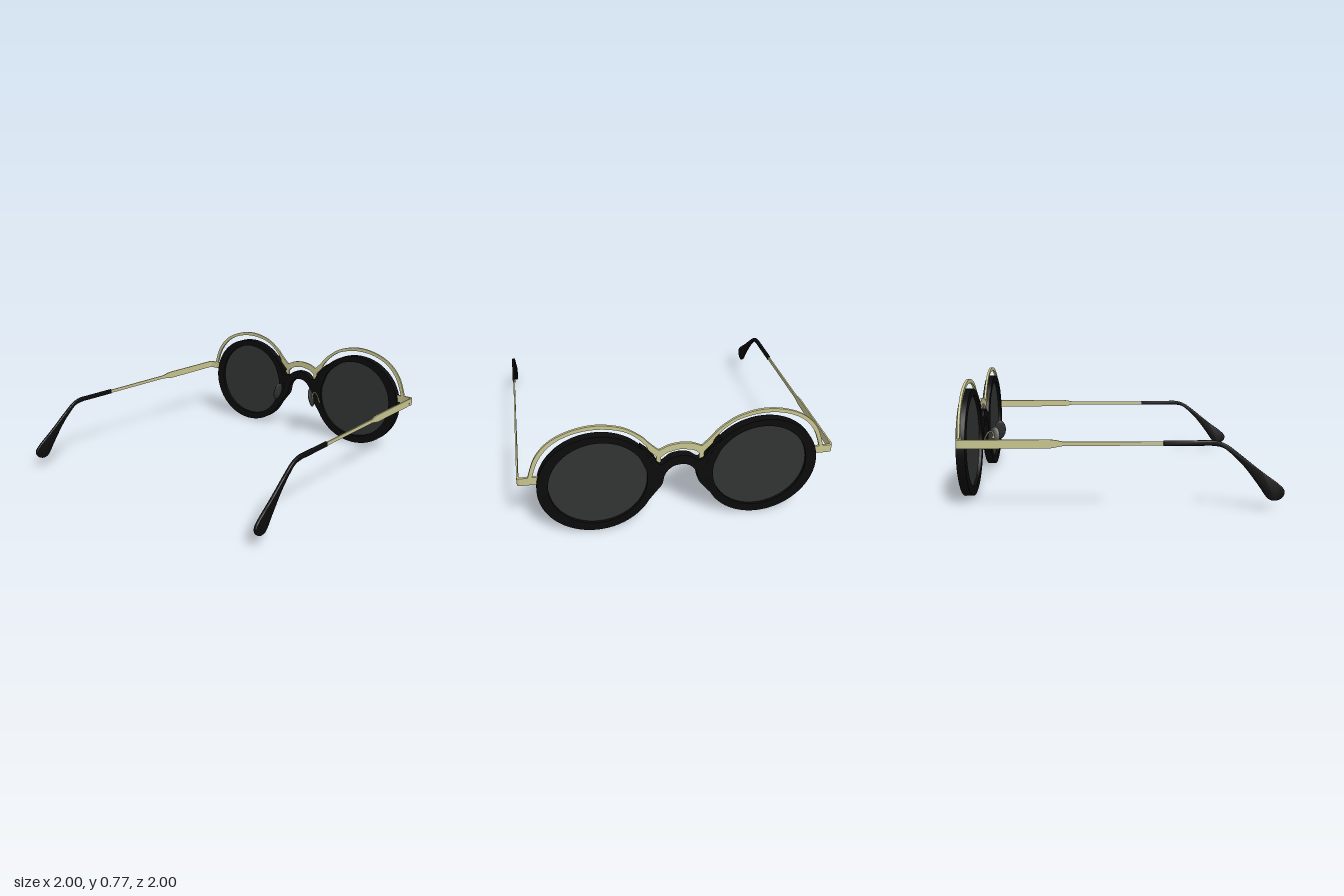
import * as THREE from 'three';
import { toCreasedNormals } from 'three/addons/utils/BufferGeometryUtils.js';

const V = (x, y) => new THREE.Vector2(x, y);
const mat = (color) => new THREE.MeshStandardMaterial({ color });

// Smooth run of points through a few control points
const smooth = (pts, n = 32) => new THREE.SplineCurve(pts.map((p) => V(...p))).getPoints(n);

// Closed symmetric shape from its right half (upper edge outward, lower edge back)
function mirrored(half) {
  const left = half.slice(1, -1).reverse().map((p) => V(-p.x, p.y));
  return new THREE.Shape([...half, ...left]);
}

function extrude(shape, depth, bevel = 0) {
  const g = new THREE.ExtrudeGeometry(shape, {
    depth: depth - 2 * bevel, curveSegments: 64, bevelEnabled: bevel > 0,
    bevelThickness: bevel, bevelSize: bevel, bevelOffset: -bevel, bevelSegments: 3,
  });
  g.translate(0, 0, bevel);
  return toCreasedNormals(g, 0.6);
}

function ellipse(cx, cy, rx, ry, Kind = THREE.Shape) {
  const s = new Kind();
  s.absellipse(cx, cy, rx, ry, 0, Math.PI * 2, false, 0);
  return s;
}

export function createModel() {
  const group = new THREE.Group();
  const black = mat(0x0b0b0b), gold = mat(0xc8c690), smoke = mat(0x323434);
  const add = (name, geometry, material, x = 0, y = 0, z = 0) => {
    const m = new THREE.Mesh(geometry, material);
    m.name = name;
    m.position.set(x, y, z);
    group.add(m);
    return m;
  };

  // Black nose bridge joining the two rims
  const bridge = mirrored([
    ...smooth([[0, 0.507], [0.06, 0.495], [0.11, 0.458], [0.145, 0.468], [0.18, 0.53], [0.25, 0.6]]),
    V(0.245, 0.5), V(0.19, 0.36), V(0.245, 0.18),
    ...smooth([[0.2, 0.19], [0.15, 0.255], [0.115, 0.305], [0.1, 0.37], [0.075, 0.41], [0.04, 0.435], [0, 0.442]]),
  ]);
  add('noseBridge', extrude(bridge, 0.053), black, 0, 0, -0.999);

  // Gold brow wire: two arches, a saddle over the nose and small posts
  const brow = mirrored([
    ...smooth([[0, 0.586], [0.07, 0.577], [0.132, 0.55]], 14),
    ...smooth([[0.14, 0.553], [0.19, 0.603], [0.25, 0.668], [0.36, 0.738], [0.51, 0.77],
      [0.66, 0.75], [0.79, 0.688], [0.88, 0.585], [0.93, 0.445]], 60),
    ...smooth([[0.905, 0.445], [0.855, 0.575], [0.77, 0.672], [0.65, 0.728], [0.51, 0.744],
      [0.37, 0.718], [0.28, 0.665], [0.215, 0.595], [0.2, 0.56], [0.15, 0.505]], 60),
    V(0.15, 0.46), V(0.12, 0.46),
    ...smooth([[0.12, 0.497], [0.08, 0.526], [0, 0.543]], 14),
  ]);
  add('browWire', extrude(brow, 0.016), gold, 0, 0, -0.981);

  // Side profiles of the temple, drawn as (z, y)
  const arm = new THREE.Shape([
    V(-0.96, 0.45), V(-0.42, 0.45), V(-0.385, 0.446), V(-0.34, 0.436), V(0.3, 0.434),
    V(0.3, 0.411), V(-0.34, 0.411), V(-0.385, 0.403), V(-0.42, 0.397), V(-0.96, 0.397),
  ]);
  const tip = new THREE.Shape([
    V(0.26, 0.44),
    ...smooth([[0.5, 0.44], [0.57, 0.438], [0.64, 0.415], [0.72, 0.357], [0.85, 0.253], [0.965, 0.168],
      [1.0, 0.125], [0.99, 0.088], [0.955, 0.067], [0.915, 0.07], [0.885, 0.095], [0.84, 0.16],
      [0.75, 0.277], [0.66, 0.366], [0.61, 0.398], [0.55, 0.408], [0.5, 0.408]], 80),
    V(0.26, 0.408),
  ]);

  for (const [side, s] of [['left', 1], ['right', -1]]) {
    // Rim and lens
    const rim = ellipse(s * 0.521, 0.353, 0.363, 0.352);
    rim.holes.push(ellipse(s * 0.511, 0.358, 0.304, 0.301, THREE.Path));
    add(side + 'Rim', extrude(rim, 0.055), black, 0, 0, -1);
    add(side + 'Lens', extrude(ellipse(s * 0.511, 0.358, 0.304, 0.301), 0.016), smoke, 0, 0, -0.981);

    // End piece bending from the brow wire into the temple
    const end = new THREE.Shape();
    end.moveTo(s * 0.87, -0.981);
    end.lineTo(s * 0.97, -0.981);
    end.quadraticCurveTo(s * 0.996, -0.981, s * 0.996, -0.955);
    end.lineTo(s * 0.996, -0.92);
    end.lineTo(s * 0.984, -0.92);
    end.lineTo(s * 0.984, -0.953);
    end.quadraticCurveTo(s * 0.984, -0.966, s * 0.97, -0.966);
    end.lineTo(s * 0.87, -0.966);
    add(side + 'EndPiece', extrude(end, 0.053).rotateX(Math.PI / 2), gold, 0, 0.45, 0);

    // Temple arm and curved ear tip
    add(side + 'TempleArm', extrude(arm, 0.01).rotateY(-Math.PI / 2), gold, s * 0.99 + 0.005);
    add(side + 'EarTip', extrude(tip, 0.02, 0.005).rotateY(-Math.PI / 2), black, s * 0.99 + 0.01);

    // Nose pad, leaning outward towards the bottom, on a hooked wire
    const pad = add(side + 'NosePad', new THREE.SphereGeometry(1, 28, 18), smoke, s * 0.165, 0.325, -0.868);
    pad.scale.set(0.015, 0.074, 0.044);
    pad.rotation.set(0, s * 0.2, s * 0.25, 'YXZ');
    const wire = new THREE.CatmullRomCurve3([
      [0.205, 0.27, -0.955], [0.2, 0.285, -0.938], [0.195, 0.325, -0.925], [0.185, 0.36, -0.905],
      [0.18, 0.368, -0.885], [0.178, 0.35, -0.87], [0.172, 0.325, -0.87],
    ].map(([x, y, z]) => new THREE.Vector3(s * x, y, z)));
    add(side + 'PadWire', new THREE.TubeGeometry(wire, 30, 0.005, 8), gold);
    const stud = add(side + 'PadStud', new THREE.SphereGeometry(0.009, 12, 8), gold, s * 0.179, 0.325, -0.87);
    stud.scale.x = 0.7;
  }
  return group;
}
